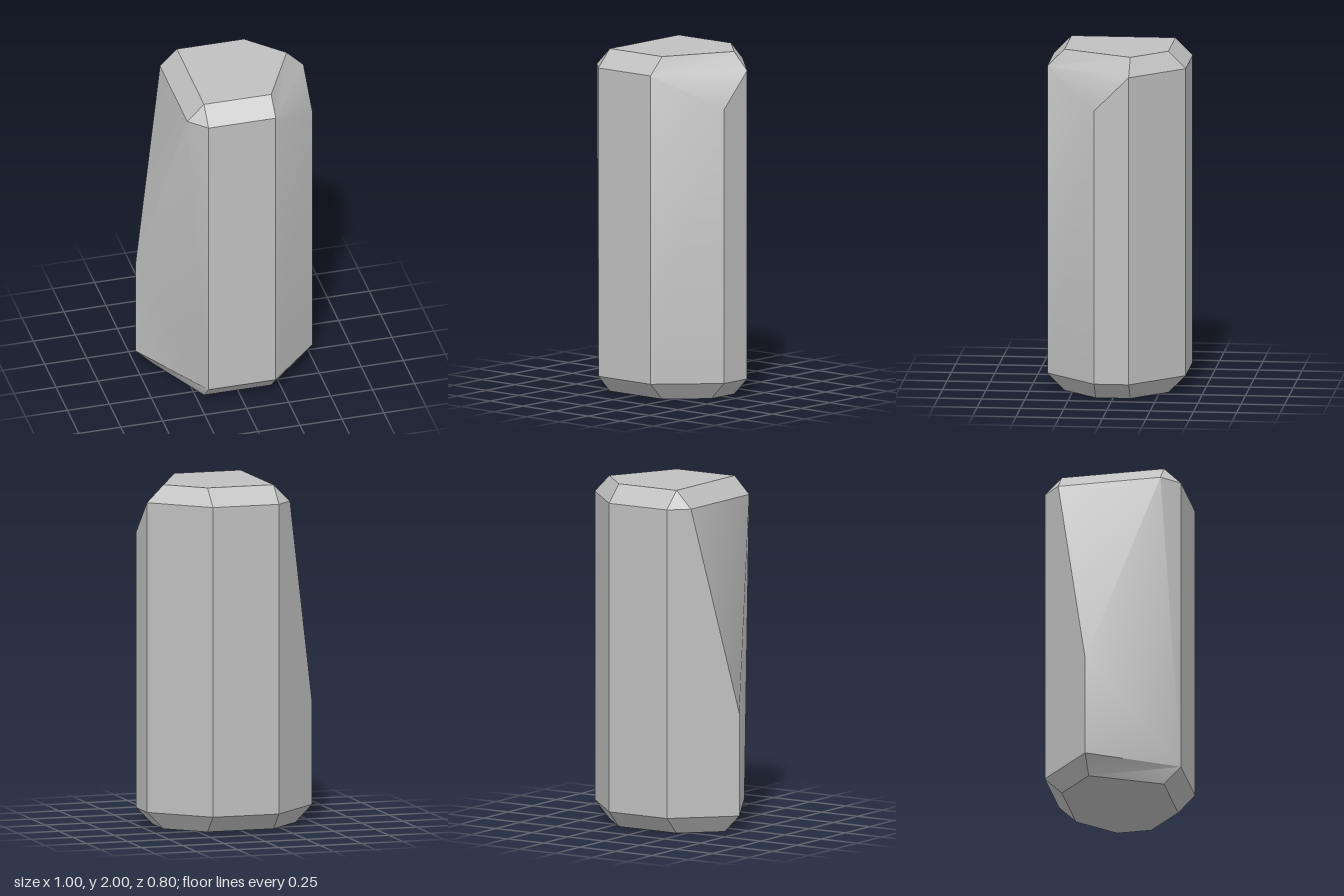
import * as THREE from 'three';
import { toCreasedNormals } from 'three/addons/utils/BufferGeometryUtils.js';

export function createModel() {
  const group = new THREE.Group();
  group.name = 'stonePillar';
  const stone = new THREE.MeshStandardMaterial({ color: 0xc0c0c0 });
  stone.name = 'stone grey';

  const level = (y, ring) => ring.map(([x, z]) => [x, y, z]);

  // Rings run left, front, right, back as seen from above
  const foot = level(0, [[-0.4, -0.1], [-0.2, 0.3], [0.2, 0.3], [0.4, 0.1], [0.4, -0.1], [0.2, -0.3], [-0.2, -0.3]]);
  const lower = level(0.1, [[-0.5, -0.1], [-0.2, 0.4], [0.2, 0.4], [0.5, 0.1], [0.5, -0.1], [0.2, -0.4], [-0.2, -0.4]]);
  const upper = lower.map(([x, , z]) => [x, 1.9, z]);
  upper[0][1] = 0.7; // low tip of the slanted side cut
  upper[3][1] = 1.7; // chipped front corner
  const top = level(2, [[-0.2, 0.3], [0.2, 0.3], [0.4, -0.1], [0.2, -0.3], [-0.2, -0.3]]);
  const cutFront = [-0.3, 1.9, 0.3];
  const cutBack = [-0.3, 1.9, -0.3];

  const positions = [];
  const face = (...p) => {
    for (let i = 1; i < p.length - 1; i++) positions.push(...p[0], ...p[i], ...p[i + 1]);
  };

  // Base, lower bevels and walls
  face(...[...foot].reverse());
  for (let i = 0; i < 7; i++) {
    const j = (i + 1) % 7;
    face(foot[i], foot[j], lower[j], lower[i]);
    if (i > 0 && i < 6) face(lower[i], lower[j], upper[j], upper[i]);
  }

  // Walls on either side of the slanted cut, and the cut itself
  face(lower[1], upper[1], cutFront, upper[0], lower[0]);
  face(lower[6], lower[0], upper[0], cutBack, upper[6]);
  face(upper[0], cutFront, cutBack);

  // Upper bevels
  face(upper[1], upper[2], top[1], top[0]);
  face(upper[2], upper[3], upper[4], top[2], top[1]);
  face(upper[4], upper[5], top[3], top[2]);
  face(upper[5], upper[6], top[4], top[3]);
  face(cutBack, cutFront, top[0], top[4]);
  face(cutFront, upper[1], top[0]);
  face(upper[6], cutBack, top[4]);

  // Top
  face(...top);

  const geometry = new THREE.BufferGeometry();
  geometry.setAttribute('position', new THREE.Float32BufferAttribute(positions, 3));
  const pillar = new THREE.Mesh(toCreasedNormals(geometry, THREE.MathUtils.degToRad(34)), stone);
  pillar.name = 'pillar';
  group.add(pillar);
  return group;
}
